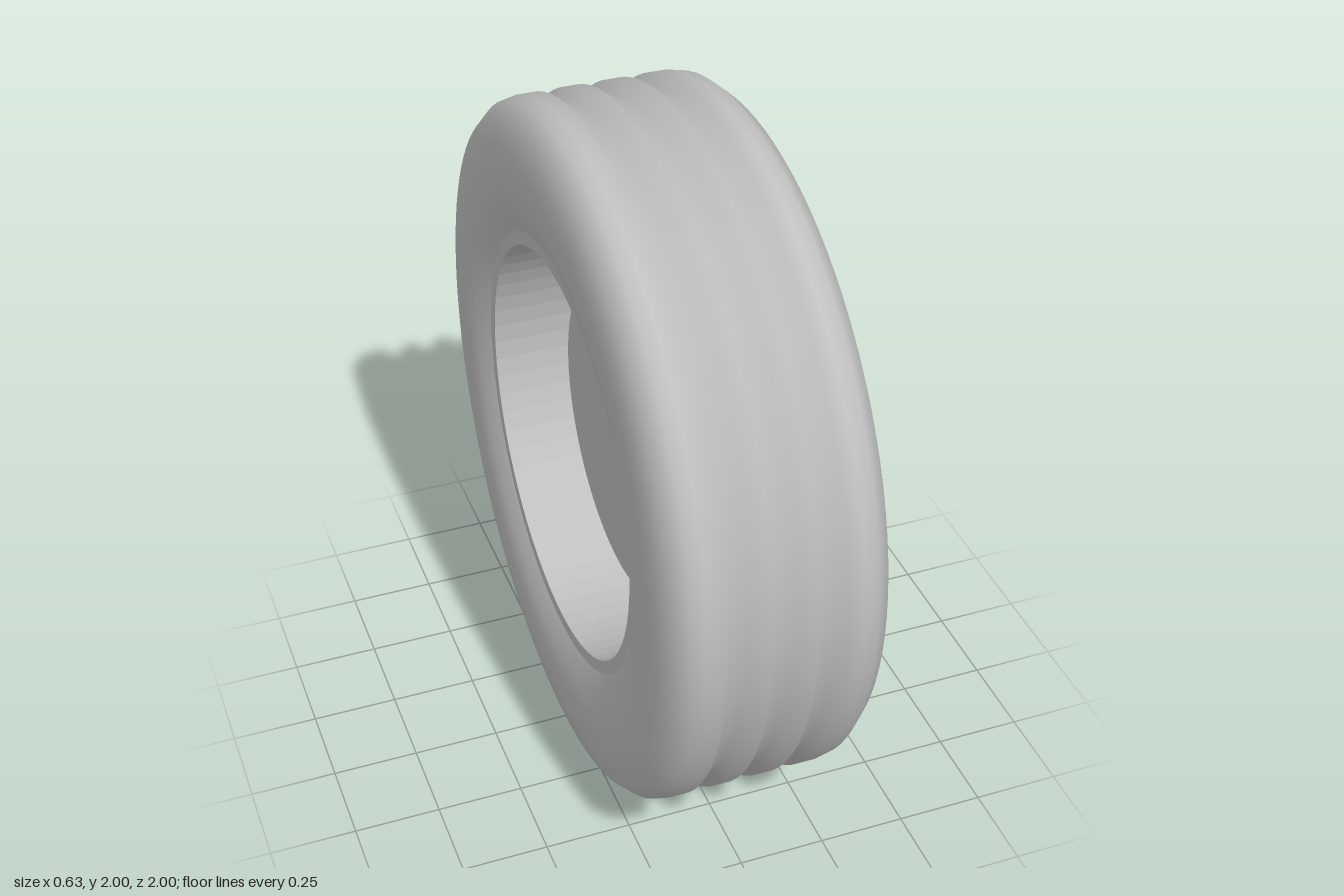
import * as THREE from 'three';

const grey = new THREE.MeshStandardMaterial({ color: 0xbfbfbf });
grey.name = 'grey';

function add(parent, name, geometry) {
  const mesh = new THREE.Mesh(geometry, grey);
  mesh.name = name;
  parent.add(mesh);
  return mesh;
}

// Profile of [x, radius] pairs turned about the x axis
function turned(profile, segments) {
  const points = profile.map(([x, r]) => new THREE.Vector2(r, x));
  return new THREE.LatheGeometry(points, segments).rotateZ(-Math.PI / 2);
}

// Solid cylinder along x between two positions
function axle(radius, x0, x1, segments) {
  return new THREE.CylinderGeometry(radius, radius, x1 - x0, segments)
    .rotateZ(-Math.PI / 2)
    .translate((x0 + x1) / 2, 0, 0);
}

export function createModel() {
  const wheel = new THREE.Group();
  wheel.name = 'wheel';
  wheel.position.y = 1;

  // Tyre: mirrored half profile, from the middle groove to the bead
  const half = [
    [0.025, 0.965], [0.04, 1], [0.085, 1], [0.1, 0.965], [0.148, 0.965],
    [0.163, 1], [0.21, 1], [0.25, 0.992], [0.292, 0.955], [0.306, 0.88],
    [0.313, 0.83], [0.312, 0.76], [0.302, 0.69], [0.277, 0.633],
  ];
  const mirrored = half.map(([x, r]) => [-x, r]).reverse();
  add(wheel, 'tyre', turned([...mirrored, ...half], 96));

  // Rim barrel with flat lips on both sides
  const rim = turned([[0.277, 0.636], [0.277, 0.595], [-0.277, 0.595], [-0.277, 0.636]], 64).toNonIndexed();
  rim.computeVertexNormals();
  add(wheel, 'rim', rim);

  // Brake disc and hub
  add(wheel, 'brakeDisc', axle(0.45, -0.095, -0.04, 64));
  add(wheel, 'hub', axle(0.165, 0.12, 0.236, 48));

  // Five spokes with a wheel bolt between each pair
  for (let i = 0; i < 5; i++) {
    const angle = (i * 2 * Math.PI) / 5;
    const spoke = add(wheel, 'spoke', new THREE.BoxGeometry(0.09, 0.1, 0.46).translate(0.186, 0, 0.37));
    spoke.rotation.x = -angle - Math.PI / 5;
    const bolt = add(wheel, 'bolt', axle(0.025, 0.22, 0.274, 20));
    bolt.position.set(0, 0.12 * Math.sin(angle), 0.12 * Math.cos(angle));
  }

  const model = new THREE.Group();
  model.name = 'model';
  model.add(wheel);
  return model;
}
